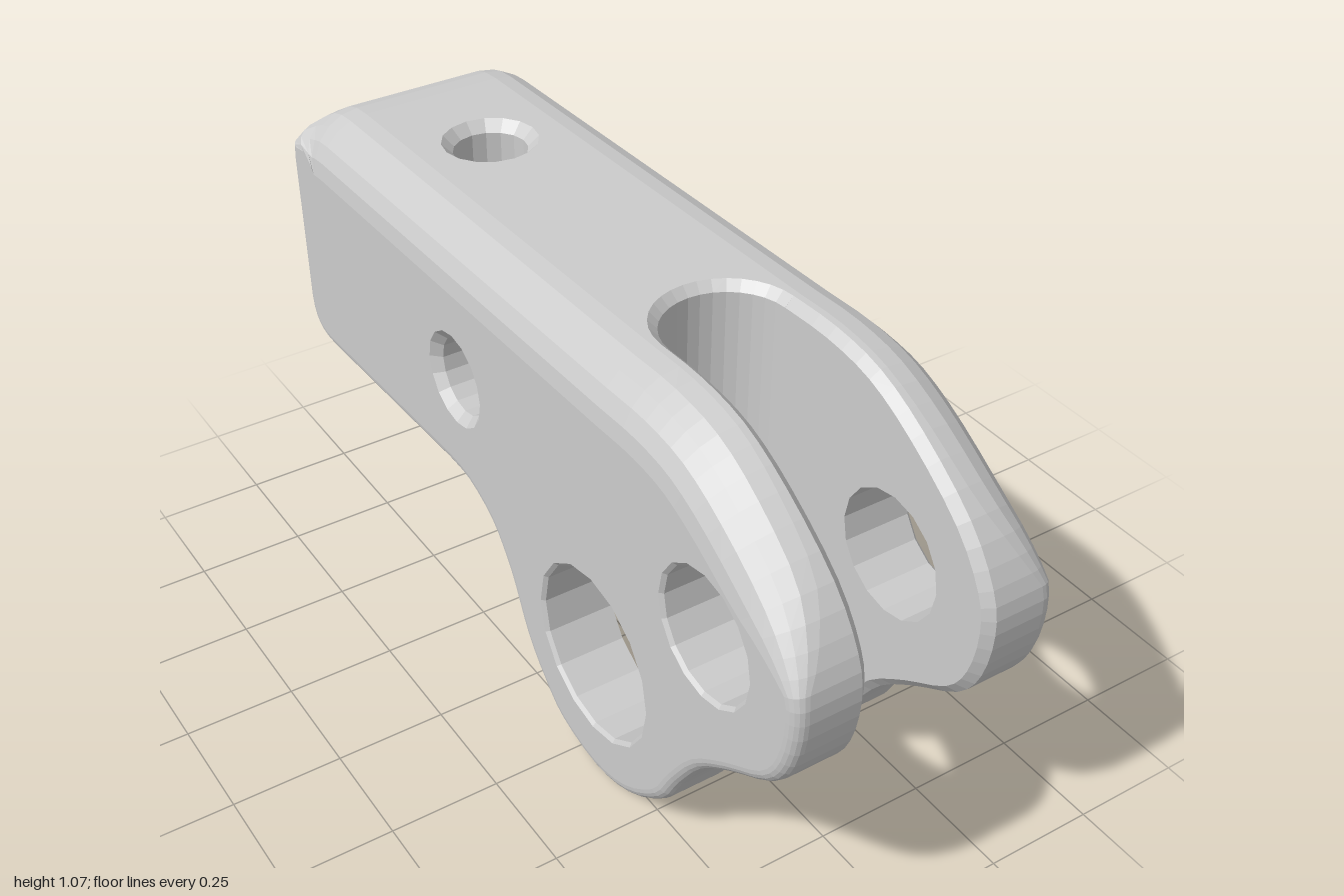
import * as THREE from 'three';

const V2 = (a, b) => new THREE.Vector2(a, b);
const V3 = (x, y, z) => new THREE.Vector3(x, y, z);
const HALF = 0.3, SLOT = 0.135, CH = 0.02, RIM = SLOT + CH; // half widths and rim chamfer
const UP = 0.35, LOW = 0.11, CEIL = 0.63;                   // slot end centres (z), step height
const topY = z => 1.07 - 0.0263 * (0.485 - z);
const botY = z => 0.45 + (z + 0.28) * 0.0441;
const rearZ = y => -0.99 - (y - 0.52) * 0.0263;

// Circle of [u, v] points
const ring = (r, u = 0, v = 0, n = 16) => Array.from({ length: n }, (_, i) => {
  const a = i / n * Math.PI * 2;
  return V2(u + r * Math.cos(a), v + r * Math.sin(a));
});
// Rounded slot end in plan, from +x to -x
const slotArc = (r, c) => Array.from({ length: 17 }, (_, i) => {
  const a = i / 16 * Math.PI;
  return V2(r * Math.cos(a), c - r * Math.sin(a));
});

// Surface through rows of points
function grid(rows, closed = false) {
  const n = rows[0].length, index = [];
  for (let i = 0; i < rows.length - 1; i++) {
    for (let j = 0; j < (closed ? n : n - 1); j++) {
      const k = (j + 1) % n, a = i * n + j, b = i * n + k;
      index.push(a, b, b + n, a, b + n, a + n);
    }
  }
  const g = new THREE.BufferGeometry().setFromPoints(rows.flat());
  g.setIndex(index);
  return g;
}

function flip(g) {
  const id = g.index.array;
  for (let i = 0; i < id.length; i += 3) [id[i], id[i + 1]] = [id[i + 1], id[i]];
  return g;
}

// Flat face with holes, placed by map(u, v)
function patch(points, holes, map, flipped = false) {
  const s = new THREE.Shape(points);
  s.holes = holes.map(h => new THREE.Path(h));
  const g = new THREE.ShapeGeometry(s), p = g.attributes.position;
  for (let i = 0; i < p.count; i++) p.setXYZ(i, ...map(p.getX(i), p.getY(i)).toArray());
  return flipped ? flip(g) : g;
}

export function createModel() {
  const group = new THREE.Group();
  const mat = new THREE.MeshStandardMaterial({ color: 0xcccccc, flatShading: true, side: THREE.DoubleSide });
  const add = (name, g, mirrored = false) => {
    const list = mirrored ? [g, flip(g.clone().scale(-1, 1, 1))] : [g];
    for (const part of list) {
      const flat = part.toNonIndexed();
      flat.computeVertexNormals();
      const m = new THREE.Mesh(flat, mat);
      m.name = name;
      group.add(m);
    }
  };

  // Side outline as (z, y): nose, lug and fillet, then the two rear corners
  const knots = [[UP, topY(UP)], [0.485, 1.07], [0.62, 1.05], [0.753, 0.987], [0.9, 0.88], [0.98, 0.77],
    [1, 0.675], [0.98, 0.56], [0.925, 0.475], [0.807, 0.397], [0.71, 0.32], [0.635, 0.214], [0.576, 0.118],
    [0.46, 0.03], [0.33, 0], [0.19, 0.03], [LOW, 0.092], [0.04, 0.177], [-0.013, 0.285], [LOW - RIM, 0.337],
    [-0.1, 0.4], [-0.19, 0.443], [-0.28, 0.45]];
  const S = new THREE.SplineCurve(knots.map(k => V2(...k))).getPoints((knots.length - 1) * 3);
  const corner = (a, b, c) => new THREE.QuadraticBezierCurve(V2(...a), V2(...b), V2(...c)).getPoints(6);
  const E = corner([-0.87, botY(-0.87)], [-0.98, 0.42], [rearZ(0.52), 0.52]);
  const G = corner([rearZ(0.9), 0.9], [-1, 1.031], [-0.845, topY(-0.845)]);
  const P = [...S, ...E, ...G], n = P.length;
  const normal = P.map((p, i) => {
    const a = p.clone().sub(P[(i + n - 1) % n]).normalize();
    const t = P[(i + 1) % n].clone().sub(p).normalize().add(a).normalize();
    return V2(-t.y, t.x);
  });
  // Broad rounding along the top, a small one elsewhere
  const round = normal.map(m => 0.03 + 0.1 * THREE.MathUtils.smoothstep(m.y, 0.2, 0.95));
  const inset = (k, d) => P[k].clone().addScaledVector(normal[k], -d);
  const width = k => HALF - round[k];

  // Rounded side edges
  const bevel = Array.from({ length: 6 }, (_, i) => {
    const a = i / 5 * Math.PI / 2;
    return P.map((_, k) => {
      const q = inset(k, round[k] * (1 - Math.cos(a)));
      return V3(width(k) + round[k] * Math.sin(a), q.y, q.x);
    });
  });
  add('sideEdge', grid(bevel, true), true);

  // Curved outer walls, leaving the slot open
  const iLow = 16 * 3, iEnd = 19 * 3;
  const rimX = k => k <= iLow ? RIM : k >= iEnd ? 0 : Math.sqrt(Math.max(0, RIM ** 2 - (P[k].x - LOW) ** 2));
  const wall = (from, to) => {
    const ids = Array.from({ length: to - from + 1 }, (_, i) => from + i);
    return grid([rimX, width].map(f => ids.map(k => V3(f(k), P[k].y, P[k].x))));
  };
  const e0 = S.length, g0 = e0 + E.length;
  add('forkOuterWall', wall(0, e0 - 1), true);
  add('rearLowerCorner', wall(e0, g0 - 1), true);
  add('rearUpperCorner', wall(g0, n - 1), true);

  // Chamfered slot rim and lower slot end
  const inner = [];
  for (let k = 0; k <= iEnd; k++) {
    const q = inset(k, CH), f = SLOT / RIM;
    inner.push(k <= iLow ? V3(SLOT, q.y, q.x) : V3(rimX(k) * f, q.y, LOW + (P[k].x - LOW) * f));
  }
  add('slotRim', grid([inner, inner.map((_, k) => V3(rimX(k), P[k].y, P[k].x))]), true);
  const lowEnd = inner.slice(iLow);
  add('lowerSlotEnd', grid([lowEnd.map(p => V3(p.x, CEIL, p.z)), lowEnd]), true);

  // Upper slot end and the step between both slot depths
  const arc = slotArc(SLOT, UP);
  add('upperSlotEnd', grid([
    slotArc(RIM, UP).map(p => V3(p.x, topY(p.y), p.y)),
    arc.map(p => V3(p.x, topY(p.y) - CH, p.y)),
    arc.map(p => V3(p.x, CEIL, p.y))]));
  add('slotStep', patch([...arc, ...slotArc(SLOT, LOW).reverse()], [], (x, z) => V3(x, CEIL, z)));

  // Side faces, fork inner faces and cross bores: [z, y, radius, chamfer, inner x]
  const bores = [[0.716, 0.68, 0.14, 0.008, SLOT], [0.324, 0.332, 0.198, 0.008, SLOT], [-0.225, 0.705, 0.09, 0.022, 0]];
  add('sideFace', patch(P.map((_, k) => inset(k, round[k])),
    bores.map(([z, y, r, c]) => ring(r + c, z, y)), (z, y) => V3(HALF, y, z), true), true);
  add('forkInnerFace', patch(
    [...inner.slice(0, iLow + 1).map(p => V2(p.z, p.y)), V2(LOW, CEIL), V2(UP, CEIL)],
    bores.slice(0, 2).map(([z, y, r]) => ring(r, z, y)), (z, y) => V3(SLOT, y, z)), true);
  for (const [z, y, r, c, x0] of bores) {
    const rows = [[r, x0], [r, HALF - c], [r + c, HALF]];
    add('crossBore', grid(rows.map(([q, x]) => ring(q, z, y).map(p => V3(x, p.y, p.x))), true), true);
  }

  // Top, underside and rear faces
  const R = 0.085, C = 0.025, HZ = -0.57, HY = 0.68;
  const quad = (a, b, u, v) => [V2(width(a), u), V2(-width(a), u), V2(-width(b), v), V2(width(b), v)];
  const [f0, f1, b0, b1] = quad(0, n - 1, UP, P[n - 1].x);
  add('topFace', patch([f0, ...slotArc(RIM, UP), f1, b0, b1], [ring(R + C, 0, HZ)],
    (x, z) => V3(x, topY(z), z), true));
  add('underside', patch(quad(e0 - 1, e0, P[e0 - 1].x, P[e0].x), [ring(R + C, 0, HZ)],
    (x, z) => V3(x, botY(z), z)));
  add('rearFace', patch(quad(g0 - 1, g0, P[g0 - 1].y, P[g0].y), [ring(R + C, 0, HY)],
    (x, y) => V3(x, y, rearZ(y)), true));

  // Vertical bore and blind rear bore
  const vertical = [[R + C, botY, 0], [R, botY, C], [R, topY, -C], [R + C, topY, 0]];
  add('verticalBore', grid(vertical.map(([r, f, d]) =>
    ring(r, 0, HZ).map(p => V3(p.x, f(p.y) + d, p.y))), true));
  const rear = [[0, () => -0.66], [R, () => -0.66], [R, y => rearZ(y) + C], [R + C, rearZ]];
  add('rearBore', grid(rear.map(([r, f]) => ring(r, 0, HY).map(p => V3(p.x, p.y, f(p.y)))), true));

  return group;
}
